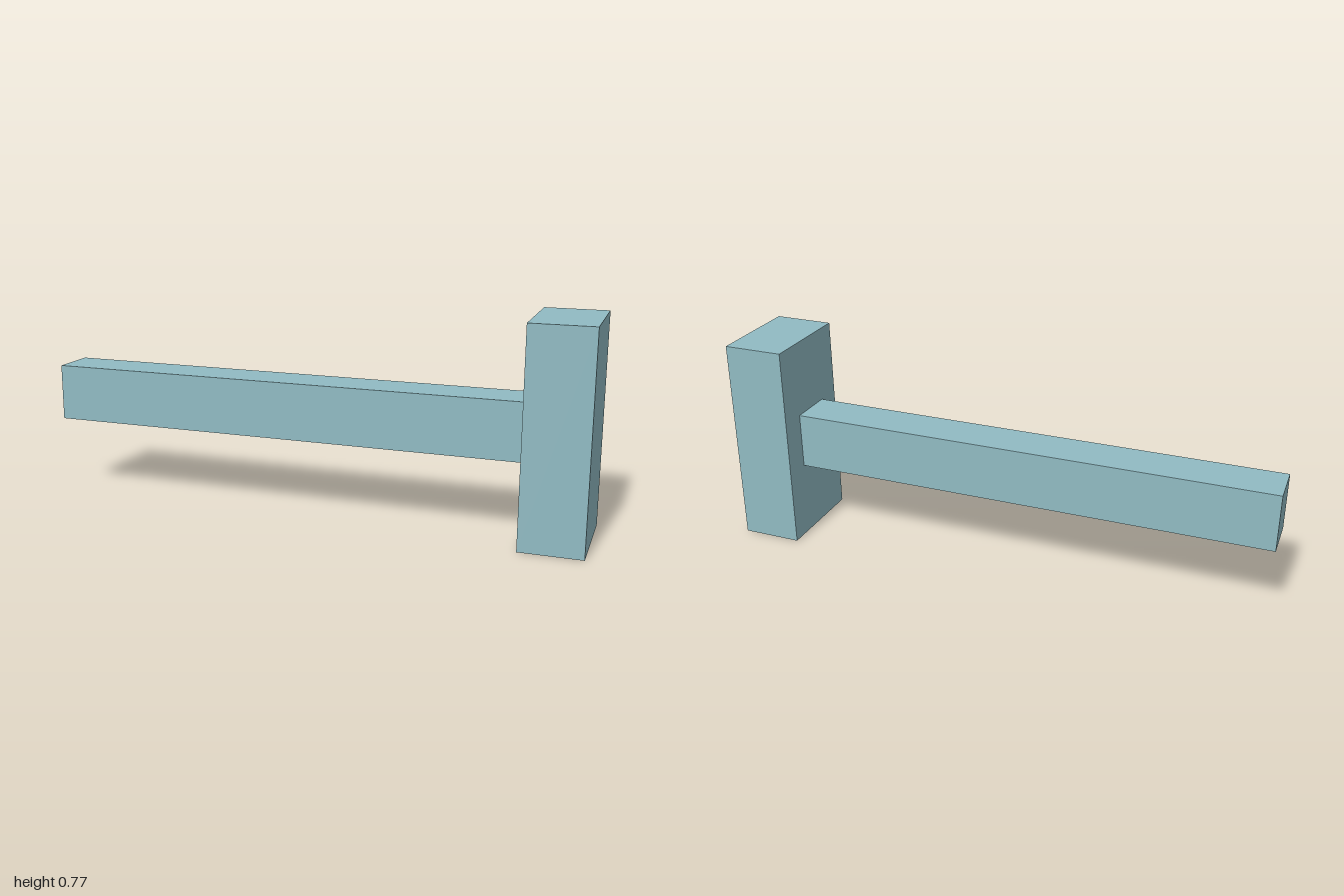
import * as THREE from 'three';

export function createModel() {
  const model = new THREE.Group();
  model.name = 'mallet';

  const paleTeal = new THREE.MeshStandardMaterial({ name: 'paleTeal', color: 0x91bbc3 });

  // Box spanning x0..x1 and y0..y1, centred on z = 0
  function addBlock(name, x0, x1, y0, y1, depth) {
    const mesh = new THREE.Mesh(new THREE.BoxGeometry(x1 - x0, y1 - y0, depth), paleTeal);
    mesh.name = name;
    mesh.position.set((x0 + x1) / 2, (y0 + y1) / 2, 0);
    model.add(mesh);
  }

  // Upright head block
  addBlock('head', 0.778, 1, 0, 0.766, 0.362);
  // Long handle meeting the inner face of the head
  addBlock('handle', -1, 0.778, 0.28, 0.488, 0.168);

  return model;
}
